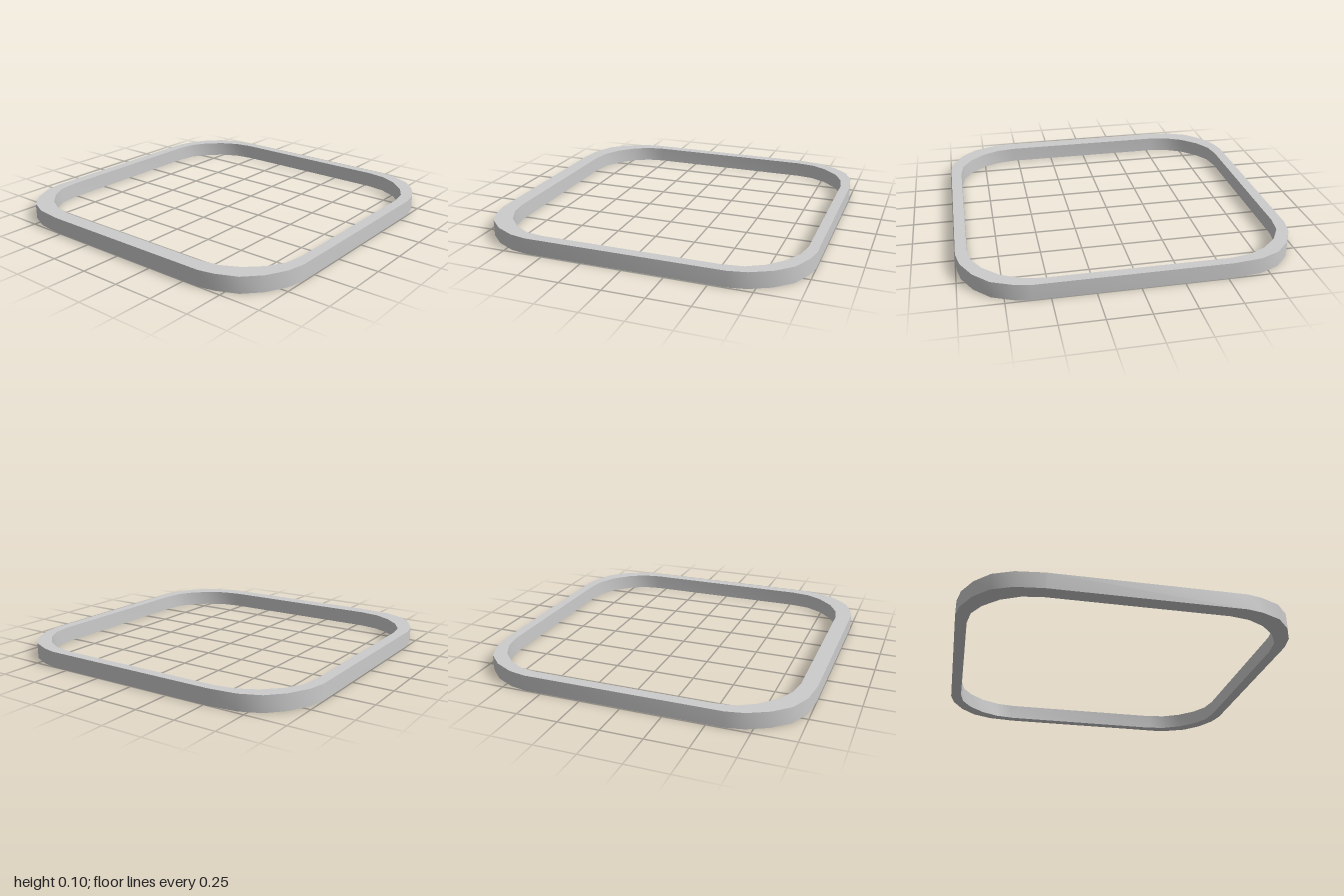
import * as THREE from 'three';
import { toCreasedNormals } from 'three/addons/utils/BufferGeometryUtils.js';

// One rounded corner, from the long side edge round to the front edge
const outerCorner = [[0.995, 0.6], [0.973, 0.71], [0.91, 0.832], [0.82, 0.927], [0.698, 0.98], [0.605, 1]];
const innerCorner = [[0.928, 0.54], [0.91, 0.658], [0.853, 0.757], [0.76, 0.847], [0.65, 0.903], [0.533, 0.9225]];

// Mirrors a corner into a closed loop; leftEnd is where the left corners meet the straight edges
function mirrorLoop(corner, leftEnd, offset = 0) {
  const points = [];
  for (const [sx, sy] of [[1, 1], [-1, 1], [-1, -1], [1, -1]]) {
    const quarter = corner.map(([x, y], i) => {
      const px = sx < 0 && i === corner.length - 1 ? leftEnd : x;
      return new THREE.Vector2(sx * px, sy * y + offset);
    });
    points.push(...(sx * sy > 0 ? quarter : quarter.reverse()));
  }
  return points;
}

export function createModel() {
  const group = new THREE.Group();
  group.name = 'roundedFrame';

  // Flat ring: the opening sits slightly towards the back, so the front rail is wider
  const shape = new THREE.Shape(mirrorLoop(outerCorner, 0.53));
  shape.holes.push(new THREE.Path(mirrorLoop(innerCorner, 0.533, 0.0175)));

  let geometry = new THREE.ExtrudeGeometry(shape, { depth: 0.097, bevelEnabled: false });
  geometry.rotateX(-Math.PI / 2);
  geometry = toCreasedNormals(geometry, Math.PI / 4);

  const frame = new THREE.Mesh(geometry, new THREE.MeshStandardMaterial({ color: 0xcccccc }));
  frame.name = 'frameRing';
  group.add(frame);
  return group;
}
